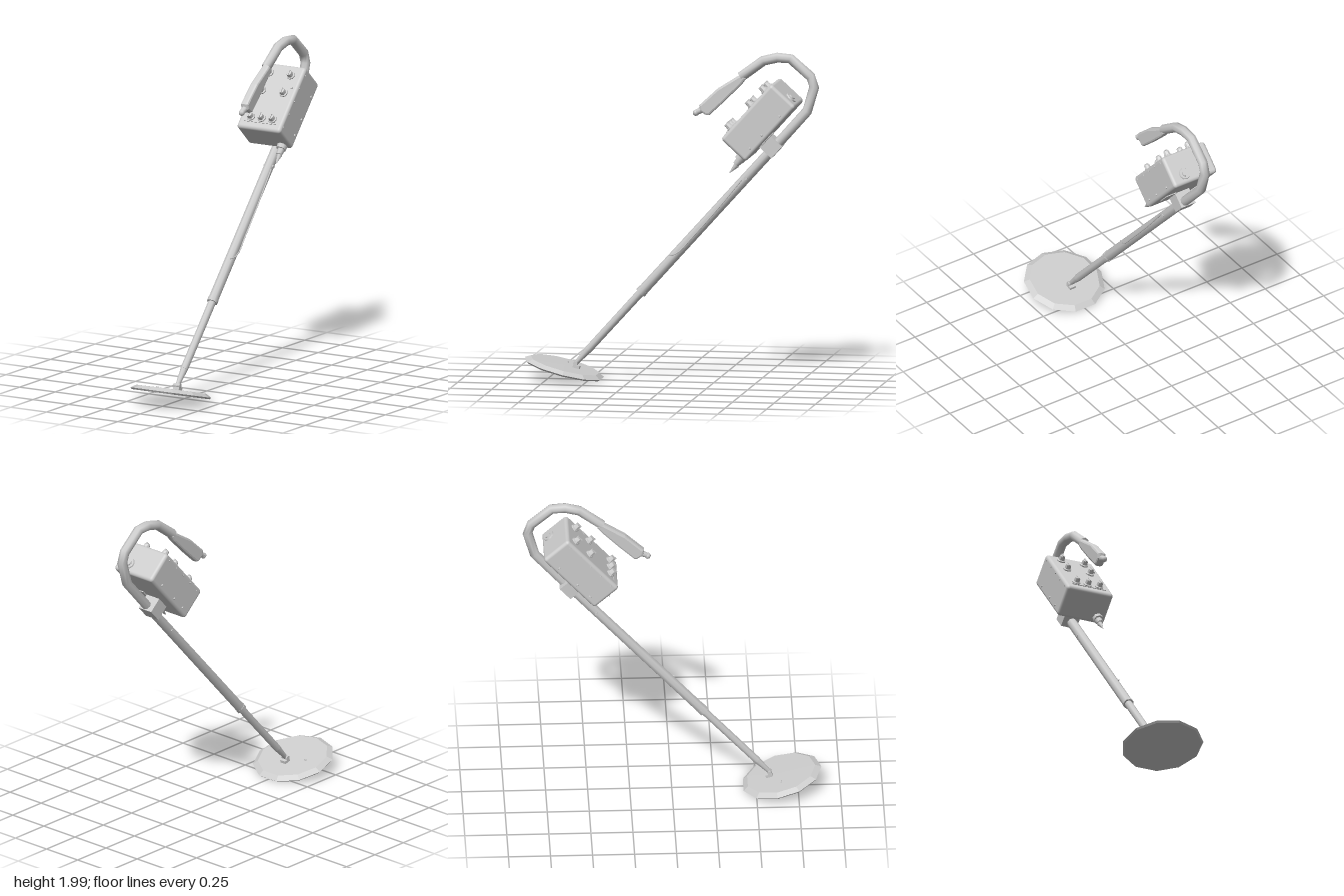
import * as THREE from 'three';
import { RoundedBoxGeometry } from 'three/addons/geometries/RoundedBoxGeometry.js';

const grey = new THREE.MeshStandardMaterial({ color: 0xcccccc, side: THREE.DoubleSide });
grey.name = 'light grey';
const greyFlat = grey.clone();
greyFlat.flatShading = true;
greyFlat.name = 'light grey faceted';

function add(parent, name, geometry, x = 0, y = 0, z = 0, material = grey) {
  const mesh = new THREE.Mesh(geometry, material);
  mesh.name = name;
  mesh.position.set(x, y, z);
  parent.add(mesh);
  return mesh;
}

// Round bar running along local y from y0 to y1
function bar(parent, name, r0, r1, y0, y1, x, z, sides = 8) {
  return add(parent, name, new THREE.CylinderGeometry(r1, r0, y1 - y0, sides), x, (y0 + y1) / 2, z);
}

// Control knob standing on the panel (axis = local z)
function knob(parent, x, y, z) {
  const profile = [[0.027, 0], [0.027, 0.008], [0.02, 0.012], [0.017, 0.036], [0, 0.038]]
    .map(p => new THREE.Vector2(...p));
  const mesh = add(parent, 'knob', new THREE.LatheGeometry(profile, 8), x, y, z, greyFlat);
  mesh.rotation.x = Math.PI / 2;
  add(parent, 'knobPointer', new THREE.BoxGeometry(0.008, 0.036, 0.012), x, y, z + 0.036);
}

export function createModel() {
  const model = new THREE.Group();
  model.name = 'metalDetector';

  // Search coil: shallow faceted dish, tipped up at the front
  const coil = new THREE.Group();
  coil.name = 'searchCoil';
  coil.position.set(0, 0.064, 0.655);
  coil.rotation.x = -0.25;
  model.add(coil);
  const dish = [[0, 0], [0.235, 0], [0.245, 0.01], [0.212, 0.03], [0, 0.031]]
    .map(p => new THREE.Vector2(...p));
  add(coil, 'coilDisc', new THREE.LatheGeometry(dish, 11), 0, 0, 0, greyFlat);
  add(coil, 'coilHinge', new THREE.BoxGeometry(0.04, 0.02, 0.04), 0, 0.038, -0.07);
  add(coil, 'coilScrew', new THREE.BoxGeometry(0.015, 0.006, 0.008), -0.1, 0.033, 0);

  // Everything along the shaft: local y runs up the shaft, local z out of the panel
  const shaft = new THREE.Group();
  shaft.name = 'shaft';
  shaft.rotation.x = -0.734;
  model.add(shaft);
  const n = 0.502;
  bar(shaft, 'shaftTip', 0.012, 0.022, -0.32, -0.2, 0, n);
  bar(shaft, 'lowerRod', 0.023, 0.024, -0.2, 0.3, 0, n);
  bar(shaft, 'upperTube', 0.031, 0.03, 0.272, 1.46, 0, n);
  bar(shaft, 'tubeCollar', 0.033, 0.033, 0.27, 0.3, 0, n);
  const pin = bar(shaft, 'hingePin', 0.013, 0.013, -0.022, 0.022, 0, n);
  pin.rotation.z = Math.PI / 2;
  pin.position.y = -0.312;
  const bolt = bar(shaft, 'tubeBolt', 0.01, 0.01, -0.034, 0.034, 0, n);
  bolt.rotation.z = Math.PI / 2;
  bolt.position.y = 1.226;

  // Thin cable lying along the tube
  const cable = new THREE.CatmullRomCurve3([
    [0.02, 0.56, n + 0.028], [0.034, 0.6, n], [0.034, 0.75, n - 0.004],
    [0.032, 1.0, n], [0.03, 1.2, n + 0.01]].map(p => new THREE.Vector3(...p)));
  add(shaft, 'cable', new THREE.TubeGeometry(cable, 16, 0.004, 5));

  // Clamp joining tube and control box
  add(shaft, 'clamp', new THREE.BoxGeometry(0.1, 0.095, 0.105), -0.01, 1.47, 0.522);

  // Control box
  add(shaft, 'controlBox', new RoundedBoxGeometry(0.305, 0.456, 0.2, 3, 0.02), 0, 1.55, 0.665);
  add(shaft, 'batteryHatch', new THREE.BoxGeometry(0.07, 0.1, 0.008), 0.08, 1.5, 0.564);
  add(shaft, 'panelSlot', new THREE.BoxGeometry(0.22, 0.006, 0.006), 0, 1.369, 0.766);
  for (const y of [1.707, 1.584]) for (const x of [-0.075, 0.075]) knob(shaft, x, y, 0.764);
  for (const x of [-0.075, 0, 0.075]) knob(shaft, x, 1.399, 0.764);
  add(shaft, 'panelButton', new THREE.BoxGeometry(0.012, 0.012, 0.012), 0.115, 1.625, 0.766);

  // Screws on both sides of the box
  for (const side of [-1, 1]) {
    for (const y of [1.4, 1.51, 1.67]) {
      const screw = bar(shaft, 'sideScrew', 0.009, 0.006, -0.004, 0.004, side * 0.155, 0.6, 6);
      screw.rotation.z = -side * Math.PI / 2;
      screw.position.y = y;
    }
    for (let i = 0; i < 5; i++)
      add(shaft, 'rimScrew', new THREE.BoxGeometry(0.008, 0.007, 0.007), side * 0.153, 1.37 + i * 0.09, 0.742);
  }

  // Socket on the upper end, cable plug on the lower end
  bar(shaft, 'socketRing', 0.036, 0.033, 1.776, 1.786, 0.06, 0.625, 10);
  bar(shaft, 'socketCore', 0.02, 0.018, 1.78, 1.794, 0.06, 0.625, 8);
  bar(shaft, 'plugBase', 0.03, 0.032, 1.296, 1.325, 0.1, 0.602);
  bar(shaft, 'plugBody', 0.018, 0.024, 1.262, 1.298, 0.1, 0.598);
  bar(shaft, 'plugSpike', 0.002, 0.017, 1.2, 1.264, 0.1, 0.592);

  // Handle tube sweeping back over the box
  const path = new THREE.CurvePath();
  const pts = [[1.39, -0.58], [1.655, -0.815], [1.8, -0.857], [1.862, -0.836],
    [1.966, -0.714], [1.971, -0.635], [1.95, -0.55], [1.85, -0.415]]
    .map(([y, z]) => new THREE.Vector3(0, y, z));
  const ringSides = 8, pos = [], idx = [];
  pts.forEach((p, i) => {
    const a = pts[Math.max(i - 1, 0)], b = pts[Math.min(i + 1, pts.length - 1)];
    const t = b.clone().sub(a).normalize();
    for (let k = 0; k < ringSides; k++) {
      const c = 0.03 * Math.cos(k / ringSides * Math.PI * 2);
      const s = 0.03 * Math.sin(k / ringSides * Math.PI * 2);
      pos.push(c, p.y - t.z * s, p.z + t.y * s);
      if (i === 0) continue;
      const m = (k + 1) % ringSides, lo = (i - 1) * ringSides, hi = i * ringSides;
      idx.push(lo + k, lo + m, hi + k, lo + m, hi + m, hi + k);
    }
  });
  const tube = new THREE.BufferGeometry();
  tube.setAttribute('position', new THREE.Float32BufferAttribute(pos, 3));
  tube.setIndex(idx);
  tube.computeVertexNormals();
  add(model, 'handleTube', tube);

  // Hand grip: side outline (x = backwards, y = up) given thickness
  const outline = [[-0.425, 1.872], [-0.275, 1.777], [-0.165, 1.675], [-0.17, 1.64],
    [-0.205, 1.616], [-0.225, 1.616], [-0.315, 1.7], [-0.42, 1.805], [-0.45, 1.845]];
  const grip = new THREE.Shape(outline.map(([z, y]) => new THREE.Vector2(-z, y)));
  const gripGeo = new THREE.ExtrudeGeometry(grip, {
    depth: 0.024, bevelEnabled: true, bevelSize: 0.012, bevelOffset: -0.012, bevelThickness: 0.014, bevelSegments: 2 });
  gripGeo.translate(0, 0, -0.012);
  add(model, 'handGrip', gripGeo).rotation.y = Math.PI / 2;

  // Cap at the end of the grip
  const cap = add(model, 'gripCap', new THREE.CylinderGeometry(0.016, 0.02, 0.05, 8), 0, 1.638, -0.162);
  cap.rotation.x = Math.PI / 2 + 0.45;
  add(model, 'gripTip', new THREE.SphereGeometry(0.019, 8, 6), 0, 1.627, -0.143);

  return model;
}
